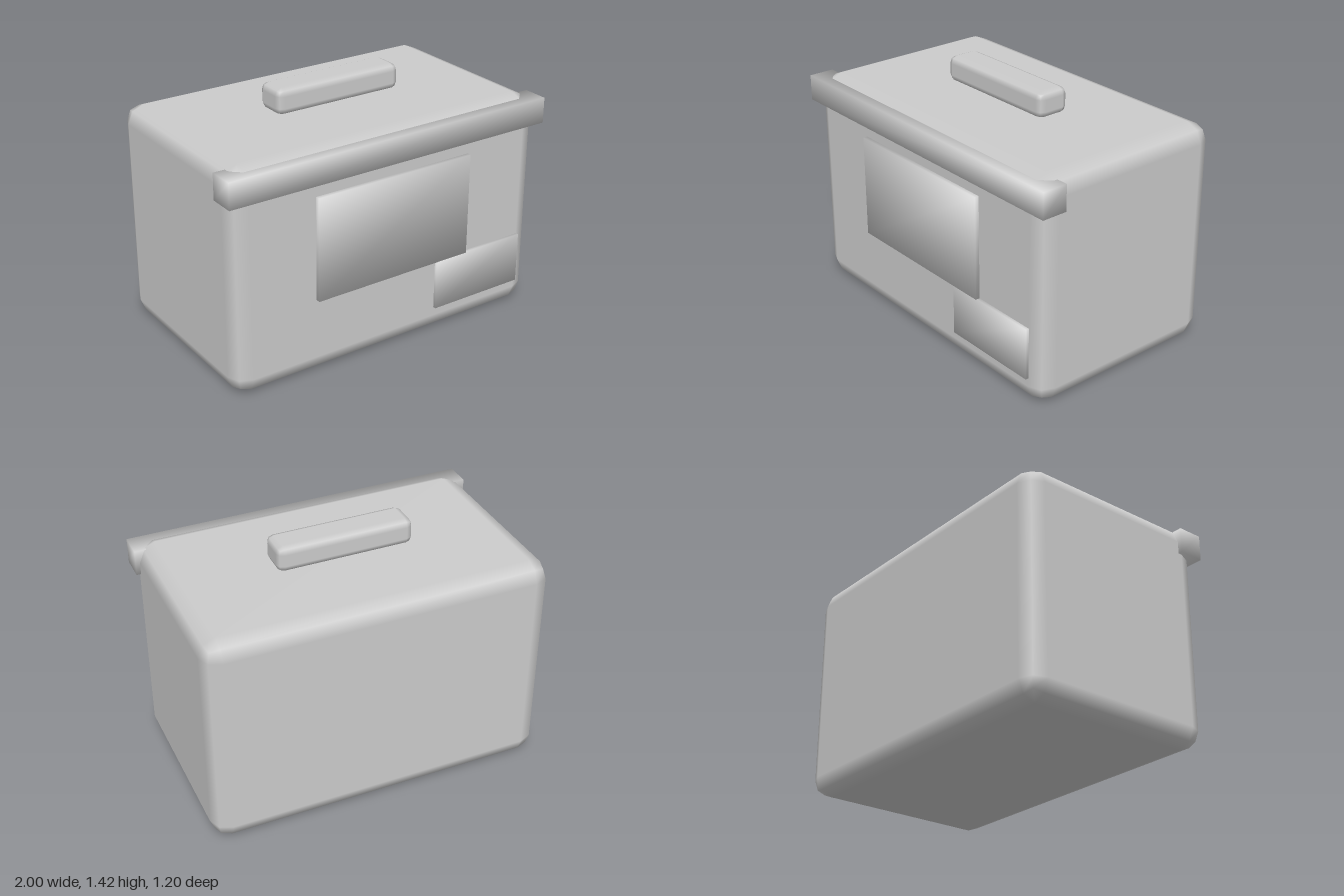
import * as THREE from 'three';
import { mergeVertices } from 'three/addons/utils/BufferGeometryUtils.js';
import { RoundedBoxGeometry } from 'three/addons/geometries/RoundedBoxGeometry.js';

// Box whose normals blend across its sharp edges
function softBox(w, h, d) {
  let g = new THREE.BoxGeometry(w, h, d);
  g.deleteAttribute('normal');
  g.deleteAttribute('uv');
  g = mergeVertices(g);
  const p = g.attributes.position;
  const n = new Float32Array(p.count * 3);
  for (let i = 0; i < n.length; i++) n[i] = Math.sign(p.array[i]) / Math.sqrt(3);
  g.setAttribute('normal', new THREE.BufferAttribute(n, 3));
  return g;
}

export function createModel() {
  const group = new THREE.Group();
  const grey = new THREE.MeshStandardMaterial({ color: 0xcccccc });
  grey.name = 'light grey';

  // Place a part by its extents; a radius gives it rounded edges
  function part(name, [x0, x1], [y0, y1], [z0, z1], radius = 0) {
    const size = [x1 - x0, y1 - y0, z1 - z0];
    const geometry = radius ? new RoundedBoxGeometry(...size, 1, radius) : softBox(...size);
    const mesh = new THREE.Mesh(geometry, grey);
    mesh.name = name;
    mesh.position.set((x0 + x1) / 2, (y0 + y1) / 2, (z0 + z1) / 2);
    group.add(mesh);
  }

  // Case and top handle
  part('body', [-0.975, 0.975], [0, 1.27], [-0.6, 0.575], 0.1);
  part('topHandle', [-0.39, 0.39], [1.27, 1.417], [-0.11, 0.085], 0.04);

  // Rail across the upper front edge
  part('frontRail', [-1, 1], [1.1, 1.246], [0.453, 0.6]);

  // Raised front plates
  part('mainPanel', [-0.488, 0.488], [0.443, 1.03], [0.55, 0.6]);
  part('smallPanel', [0.29, 0.877], [0.15, 0.443], [0.55, 0.593]);

  return group;
}
